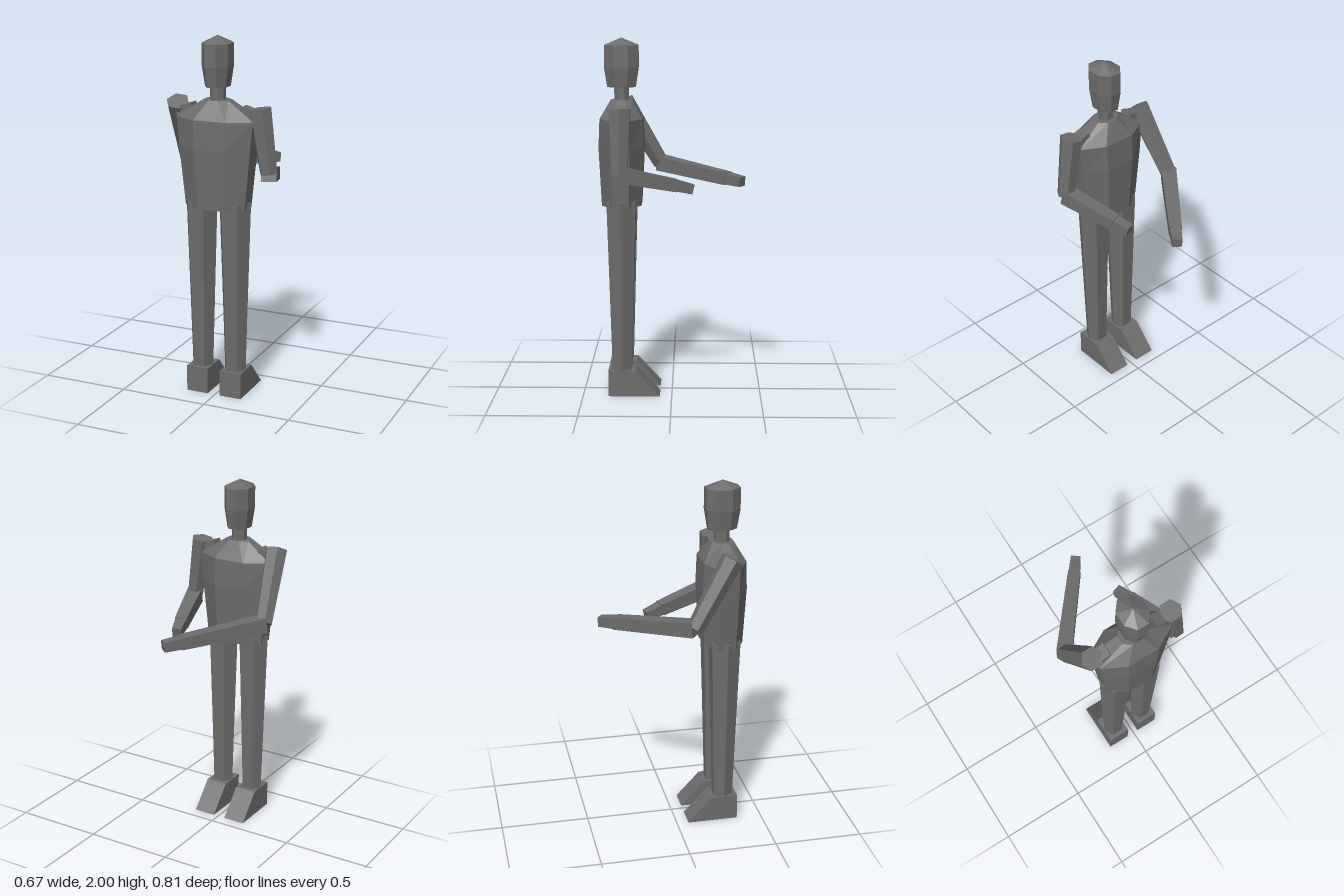
import * as THREE from 'three';

const grey = new THREE.MeshStandardMaterial({ color: 0x6c6c6c });
grey.name = 'grey';

const CX = -0.007, CZ = 0.28; // body axis

export function createModel() {
  const root = new THREE.Group();
  root.name = 'mannequin';

  // Faceted mesh: unshared corners give flat normals
  function add(name, geometry, parent = root) {
    const flat = geometry.index ? geometry.toNonIndexed() : geometry;
    flat.computeVertexNormals();
    const mesh = new THREE.Mesh(flat, grey);
    mesh.name = name;
    parent.add(mesh);
    return mesh;
  }

  // Eight-sided body from levels [y, half width, half depth]
  function stack(name, levels) {
    const n = levels.length - 1;
    const g = new THREE.CylinderGeometry(1, 1, n, 8, n, false, Math.PI / 8);
    const p = g.attributes.position;
    const k = 1 / Math.cos(Math.PI / 8);
    for (let i = 0; i < p.count; i++) {
      const [y, w, d] = levels[Math.round(p.getY(i) + n / 2)];
      p.setXYZ(i, CX + p.getX(i) * w * k, y, CZ + p.getZ(i) * d * k);
    }
    return add(name, g);
  }

  // Tapered prism from a to b; hint sets the direction of its local x
  function limb(name, a, b, ra, rb, sides, hint, parent) {
    const A = new THREE.Vector3(...a), B = new THREE.Vector3(...b);
    const Y = B.clone().sub(A), length = Y.length();
    Y.normalize();
    const Z = new THREE.Vector3(...hint).cross(Y).normalize();
    const X = Y.clone().cross(Z);
    const k = sides === 4 ? Math.SQRT2 : 1; // four-sided radii are half widths
    const g = new THREE.CylinderGeometry(rb * k, ra * k, length, sides, 1, false,
      sides === 4 ? Math.PI / 4 : Math.PI / 2);
    g.applyMatrix4(new THREE.Matrix4().makeBasis(X, Y, Z).setPosition(A.add(B).multiplyScalar(0.5)));
    return add(name, g, parent);
  }

  // Torso, neck and head
  stack('torso', [[1.075, 0.174, 0.11], [1.4, 0.207, 0.125], [1.56, 0.222, 0.118], [1.66, 0.072, 0.06]]);
  stack('neck', [[1.64, 0.04, 0.04], [1.75, 0.04, 0.04]]);
  stack('head', [[1.73, 0.06, 0.078], [1.84, 0.075, 0.095], [1.96, 0.076, 0.094], [2, 0.0005, 0.0005]]);

  // Legs and wedge feet
  for (const [side, s] of [['left', 1], ['right', -1]]) {
    const leg = new THREE.Group();
    leg.name = side + 'Leg';
    root.add(leg);
    const x = CX + s * 0.099;
    limb(side + 'Thigh', [x, 0.62, CZ], [x, 1.11, CZ], 0.077, 0.093, 6, [1, 0, 0], leg);
    limb(side + 'Shin', [x, 0.14, CZ], [x, 0.62, CZ], 0.062, 0.077, 6, [1, 0, 0], leg);
    const profile = new THREE.Shape([[-0.357, 0], [-0.067, 0], [-0.203, 0.147], [-0.357, 0.147]]
      .map(([u, v]) => new THREE.Vector2(u, v)));
    const foot = new THREE.ExtrudeGeometry(profile, { depth: 0.127, bevelEnabled: false });
    foot.rotateY(Math.PI / 2);
    foot.translate(CX + s * 0.1 - 0.0635, 0, 0);
    add(side + 'Foot', foot, leg);
  }

  // Arms, each bent at the elbow in its own pose
  const arms = [
    { side: 'left', s: 1, shoulder: [0.234, 1.627, 0.277], elbow: [0.286, 1.28, 0.278],
      wrist: [0.19, 1.21, -0.024], tip: [0.161, 1.186, -0.111] },
    { side: 'right', s: -1, shoulder: [-0.245, 1.632, 0.282], elbow: [-0.29, 1.27, 0.07],
      wrist: [0.01, 1.222, -0.312], tip: [0.068, 1.213, -0.389] },
  ];
  for (const { side, s, shoulder, elbow, wrist, tip } of arms) {
    const arm = new THREE.Group();
    arm.name = side + 'Arm';
    root.add(arm);
    limb(side + 'Collar', [CX + s * 0.137, 1.598, 0.277], [CX + s * 0.23, 1.57, 0.277], 0.037, 0.037, 4, [0, 1, 0], arm);
    limb(side + 'UpperArm', elbow, shoulder, 0.049, 0.064, 6, [1, 0, 0], arm);
    limb(side + 'Forearm', elbow, wrist, 0.042, 0.034, 4, [0, 1, 0], arm);
    limb(side + 'Hand', wrist, tip, 0.031, 0.027, 4, [0, 1, 0], arm);
  }
  return root;
}
